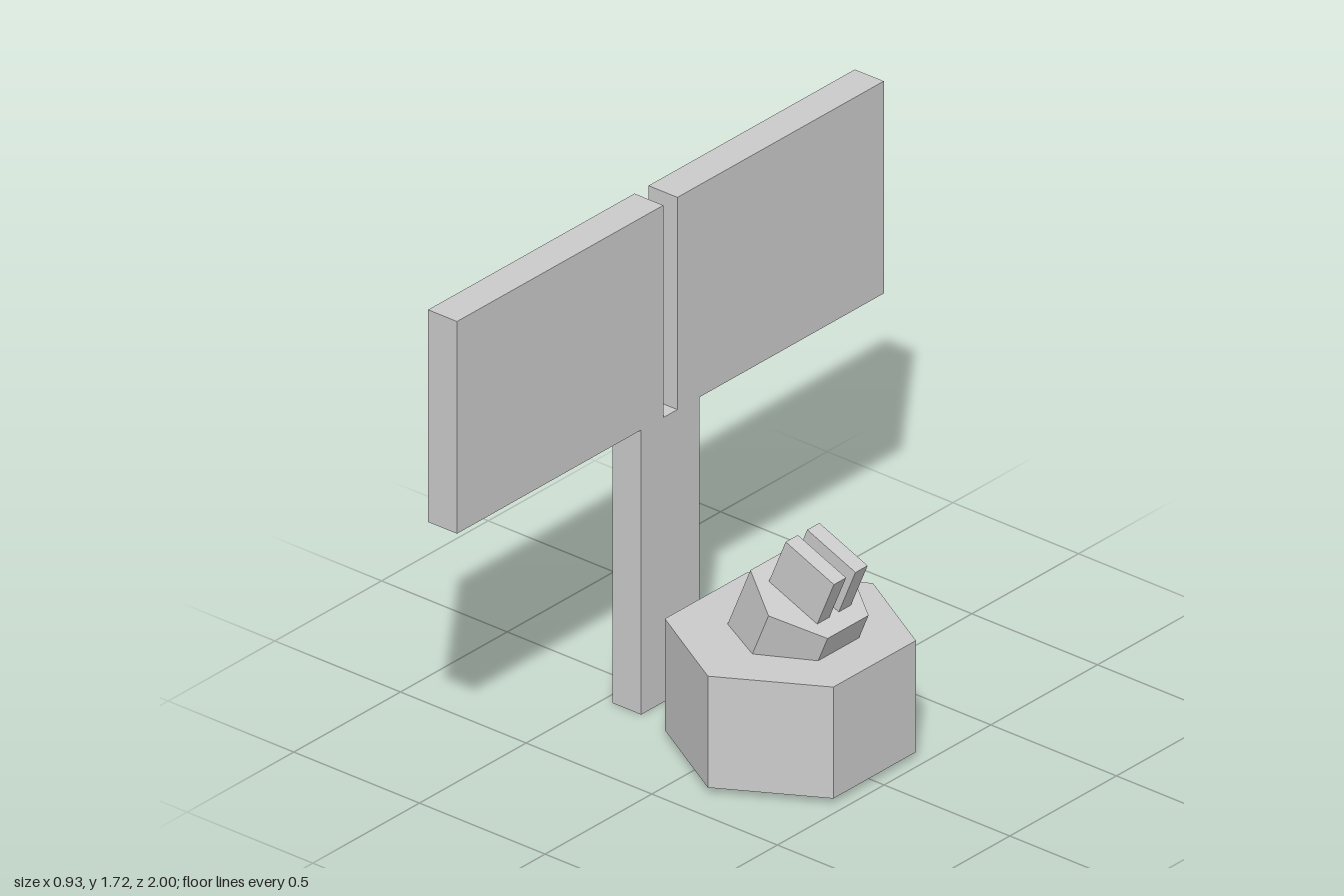
import * as THREE from 'three';

const material = new THREE.MeshStandardMaterial({ color: 0xcccccc, flatShading: true });

function add(parent, name, geometry, x, y, z) {
  const mesh = new THREE.Mesh(geometry, material);
  mesh.name = name;
  mesh.position.set(x, y, z);
  parent.add(mesh);
  return mesh;
}

export function createModel() {
  const model = new THREE.Group();
  model.name = 'panelPostAndTurret';

  // Upright post
  const postX = -0.408;
  add(model, 'post', new THREE.BoxGeometry(0.115, 0.983, 0.274), postX, 0.4915, 0);

  // Pair of large panels above the post, with a narrow gap between
  for (const side of [1, -1]) {
    add(model, side > 0 ? 'frontPanel' : 'backPanel',
      new THREE.BoxGeometry(0.115, 0.733, 0.967), postX, 1.3495, side * 0.5165);
  }

  // Hexagonal base
  add(model, 'hexBase', new THREE.CylinderGeometry(0.387, 0.387, 0.385, 6), 0.127, 0.2125, 0);

  // Tilted head: its origin is the centre of the top face
  const head = new THREE.Group();
  head.name = 'tiltedHead';
  head.position.set(0.203, 0.559, 0);
  head.rotation.z = THREE.MathUtils.degToRad(-22.6);
  model.add(head);

  const neckHeight = 0.38;
  add(head, 'hexNeck', new THREE.CylinderGeometry(0.192, 0.192, neckHeight, 6), 0, -neckHeight / 2, 0);

  // Twin fins, sunk slightly into the neck
  for (const side of [1, -1]) {
    add(head, side > 0 ? 'frontFin' : 'backFin',
      new THREE.BoxGeometry(0.208, 0.203, 0.057), 0.002, 0.0715, side * 0.0505);
  }

  return model;
}
